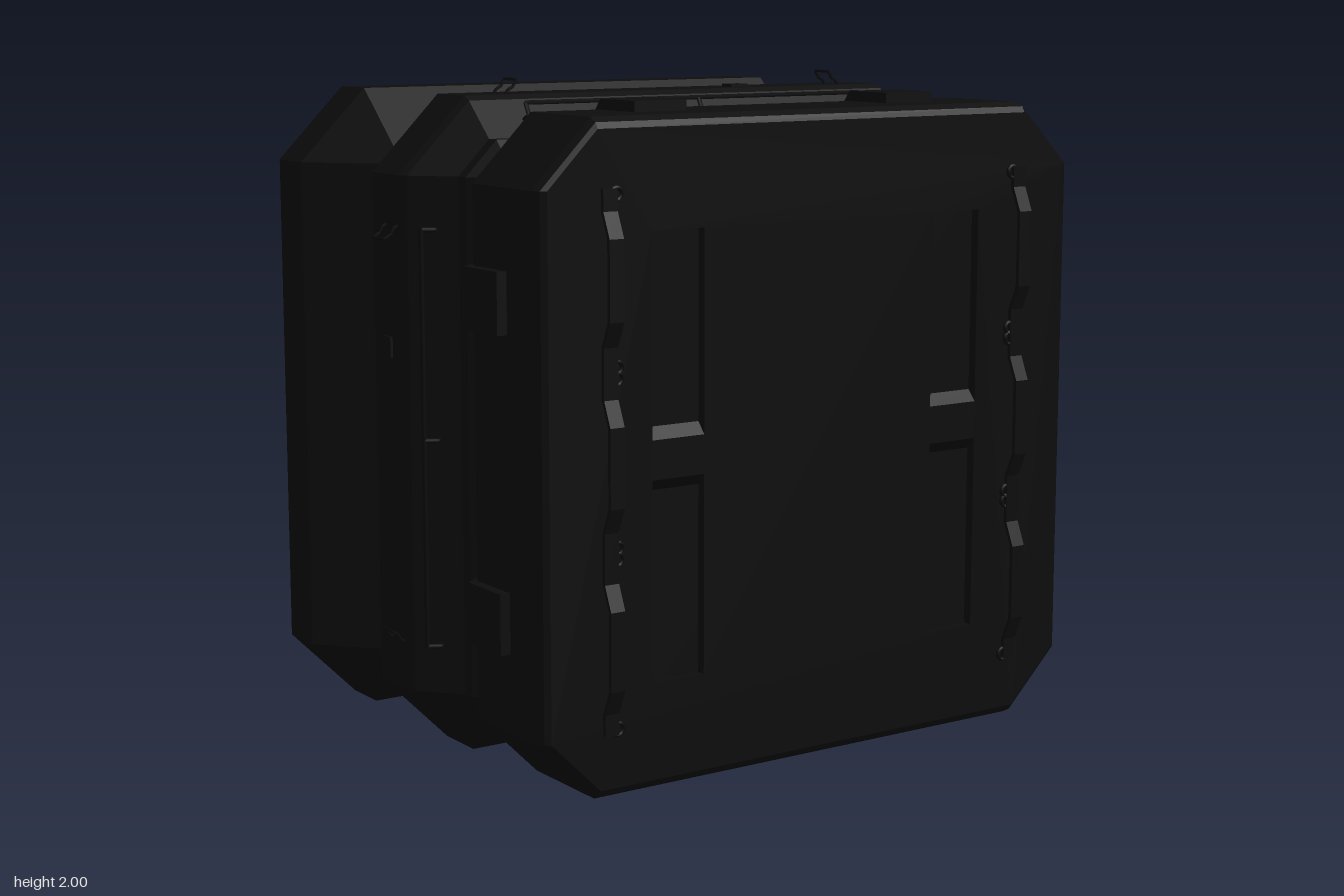
import * as THREE from 'three';

const FLAT = 0.74; // half length of each straight side of the octagon

// Corners of the chamfered square, counter-clockwise
function octagon(h) {
  const c = FLAT;
  return [[h, -c], [h, c], [c, h], [-c, h], [-h, c], [-h, -c], [-c, -h], [c, -h]];
}

// Sweeps the chamfered square along z through [z, half size] stations, back to front
function loft(stations) {
  const pos = [];
  const rings = stations.map(([z, h]) => octagon(h).map(([x, y]) => [x, y, z]));
  for (let i = 0; i < rings.length - 1; i++) {
    for (let j = 0; j < 8; j++) {
      const k = (j + 1) % 8;
      const a = rings[i][j], b = rings[i][k], c = rings[i + 1][k], d = rings[i + 1][j];
      pos.push(...a, ...b, ...c, ...a, ...c, ...d);
    }
  }
  const g = new THREE.BufferGeometry();
  g.setAttribute('position', new THREE.Float32BufferAttribute(pos, 3));
  g.computeVertexNormals();
  return g;
}

function wire(points, radius, segments = 24) {
  const path = new THREE.CurvePath();
  const v = points.map((p) => new THREE.Vector3(...p));
  for (let i = 0; i < v.length - 1; i++) path.add(new THREE.LineCurve3(v[i], v[i + 1]));
  return new THREE.TubeGeometry(path, segments, radius, 6, false);
}

export function createModel() {
  const model = new THREE.Group();
  model.name = 'crate';
  const shell = new THREE.MeshStandardMaterial({ color: 0x0d0d0d, flatShading: true });
  shell.name = 'black shell';
  const fitting = new THREE.MeshStandardMaterial({ color: 0x090909 });
  fitting.name = 'dark fittings';

  const add = (parent, name, geometry, material, x = 0, y = 0, z = 0) => {
    const m = new THREE.Mesh(geometry, material);
    m.name = name;
    m.position.set(x, y, z);
    parent.add(m);
    return m;
  };

  // Everything is built around the z axis, then lifted onto the ground
  const crate = new THREE.Group();
  crate.name = 'crateBody';
  crate.position.y = 1;
  model.add(crate);

  // Three ribs and two grooves in one shell
  add(crate, 'ribbedShell', loft([
    [-0.74, 0.925], [-0.73, 0.945], [-0.71, 0.955], [-0.565, 0.955], [-0.355, 0.765], [-0.305, 0.765],
    [-0.11, 0.955], [0.045, 0.955], [0.07, 0.942], [0.18, 0.84], [0.22, 0.84],
    [0.285, 0.775], [0.405, 0.925], [0.705, 0.925], [0.73, 0.912], [0.74, 0.895],
  ]), shell);

  // End panel with two long recesses, bridges, straps and clips
  const endPanel = (name, h) => {
    const g = new THREE.Group();
    g.name = name;
    const outline = (s) => new THREE.Shape(octagon(s).map(([x, y]) => new THREE.Vector2(x, y)));
    const face = outline(h);
    for (const s of [-1, 1]) {
      const hole = new THREE.Path();
      const a = Math.min(s * 0.4, s * 0.57), b = a + 0.17;
      hole.moveTo(a, -0.62).lineTo(a, 0.62).lineTo(b, 0.62).lineTo(b, -0.62).closePath();
      face.holes.push(hole);
    }
    add(g, 'endPlate', new THREE.ExtrudeGeometry(face, { depth: 0.03, bevelEnabled: false }), shell, 0, 0, 0.71);
    add(g, 'recessFloor', new THREE.ShapeGeometry(outline(h - 0.005)), shell, 0, 0, 0.712);

    // Bridge cross-section in (z, y), swept across the recess
    const bridge = new THREE.Shape([[0.71, -0.09], [0.74, -0.055], [0.74, 0.055], [0.71, 0.09]]
      .map(([z, y]) => new THREE.Vector2(z, y)));
    const bridgeGeo = new THREE.ExtrudeGeometry(bridge, { depth: 0.17, bevelEnabled: false });
    bridgeGeo.rotateY(-Math.PI / 2);

    // Strap cross-section in (z, y): low at the clips, raised between them
    const low = 0.745, high = 0.775, t = 0.012;
    const line = [[low, -0.74], [low, -0.67]];
    for (const c of [-0.5, 0, 0.5]) {
      line.push([low, c - 0.18], [high, c - 0.11], [high, c + 0.11], [low, c + 0.18]);
    }
    line.push([low, 0.74]);
    const strap = new THREE.Shape([...line, ...line.map(([z, y]) => [z + t, y]).reverse()]
      .map(([z, y]) => new THREE.Vector2(z, y)));
    const strapGeo = new THREE.ExtrudeGeometry(strap, { depth: 0.045, bevelEnabled: false });
    strapGeo.rotateY(-Math.PI / 2);

    for (const s of [-1, 1]) {
      add(g, 'recessBridge', bridgeGeo, shell, s * 0.485 + 0.085, 0, 0);
      add(g, 'strap', strapGeo, shell, s * 0.712 + 0.0225, 0, 0);
      for (const y of [-0.725, -0.255, -0.225, 0.235, 0.265, 0.725]) {
        add(g, 'strapClip', new THREE.TorusGeometry(0.017, 0.006, 6, 12), fitting, s * 0.69, y, 0.75);
      }
    }
    crate.add(g);
    return g;
  };
  endPanel('frontPanel', 0.895);
  endPanel('backPanel', 0.925).rotation.y = Math.PI;

  // Wrap-over plate, profile in (z, radius)
  const plateShape = new THREE.Shape([
    [0.58, 0.9], [0.58, 0.955], [0.41, 0.955], [0.295, 0.812], [0.285, 0.8],
    [0.3, 0.78], [0.42, 0.9],
  ].map(([z, r]) => new THREE.Vector2(z, r)));
  const plateGeo = new THREE.ExtrudeGeometry(plateShape, { depth: 0.17, bevelEnabled: false });
  plateGeo.rotateY(-Math.PI / 2);

  // Long rods on both slopes of the middle rib: [z, radius] of foot, bend and rod
  const rods = [
    [[-0.265, 0.8], [-0.29, 0.83], [-0.275, 0.858]],
    [[0.125, 0.885], [0.155, 0.9], [0.135, 0.935]],
  ];

  // Fittings repeated on all four sides
  for (let q = 0; q < 4; q++) {
    const side = new THREE.Group();
    side.name = ['topFittings', 'rightFittings', 'bottomFittings', 'leftFittings'][q];
    side.rotation.z = q * Math.PI / 2;
    crate.add(side);
    for (const s of [-1, 1]) {
      add(side, 'wrapPlate', plateGeo, shell, s * 0.435 + 0.085, 0, 0);
      // Small curved lifting loop
      const x = (d) => s * (0.6 - d);
      add(side, 'liftLoop', wire([
        [x(0), 0.95, 0.033], [x(0.008), 0.967, 0.033], [x(0.025), 0.976, 0.033], [x(0.037), 0.996, 0.033],
        [x(0.037), 0.996, -0.033], [x(0.025), 0.976, -0.033], [x(0.008), 0.967, -0.033], [x(0), 0.95, -0.033],
      ], 0.0045, 42), fitting);
    }
    for (const [foot, bend, top] of rods) {
      add(side, 'rod', wire([[-0.6, top[1], top[0]], [0.6, top[1], top[0]]], 0.007, 1), fitting);
      for (const x of [-0.594, 0, 0.594]) {
        add(side, 'rodBracket', wire([foot, bend, top].map(([z, r]) => [x, r, z]), 0.007, 8), fitting);
      }
    }
    add(side, 'latchBlock', new THREE.BoxGeometry(0.06, 0.02, 0.05), shell, 0.25, 0.953, -0.03);
  }
  return model;
}
